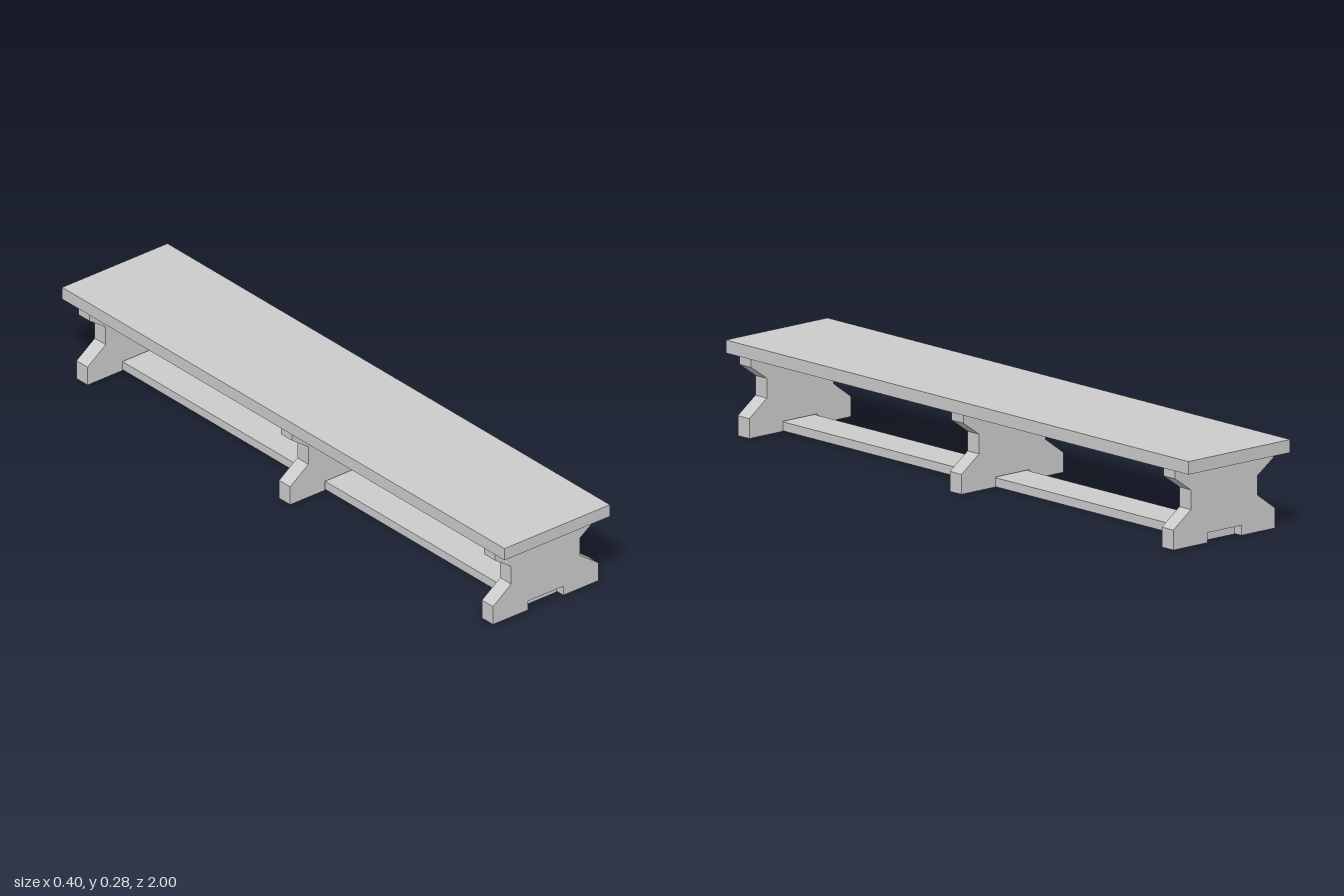
import * as THREE from 'three';

const material = new THREE.MeshStandardMaterial({ color: 0xcccccc, flatShading: true });

function addBox(group, name, size, position) {
  const mesh = new THREE.Mesh(new THREE.BoxGeometry(...size), material);
  mesh.name = name;
  mesh.position.set(...position);
  group.add(mesh);
}

export function createModel() {
  const group = new THREE.Group();
  group.name = 'bench';

  // Long flat seat plank
  addBox(group, 'seat', [0.4, 0.039, 2], [0, 0.2575, 0]);

  // Waisted trestle profile, right half mirrored to the left, notched at the floor
  const half = [
    [0.067, 0], [0.067, 0.03], [0.067, 0], [0.2, 0], [0.2, 0.06],
    [0.131, 0.11], [0.131, 0.169], [0.193, 0.212], [0.193, 0.238],
  ].slice(1);
  const outline = [...half, ...half.map(([x, y]) => [-x, y]).reverse()];
  const shape = new THREE.Shape(outline.map(([x, y]) => new THREE.Vector2(x, y)));
  const legDepth = 0.05;
  const legGeometry = new THREE.ExtrudeGeometry(shape, { depth: legDepth, bevelEnabled: false });

  // Three identical trestles along the length
  const legs = { frontLeg: 0.923, middleLeg: 0.006, backLeg: -0.91 };
  for (const [name, z] of Object.entries(legs)) {
    const leg = new THREE.Mesh(legGeometry, material);
    leg.name = name;
    leg.position.z = z - legDepth / 2;
    group.add(leg);
  }

  // Low board running through the notches
  addBox(group, 'stretcher', [0.128, 0.027, 1.83], [0, 0.0135, 0.006]);

  return group;
}
